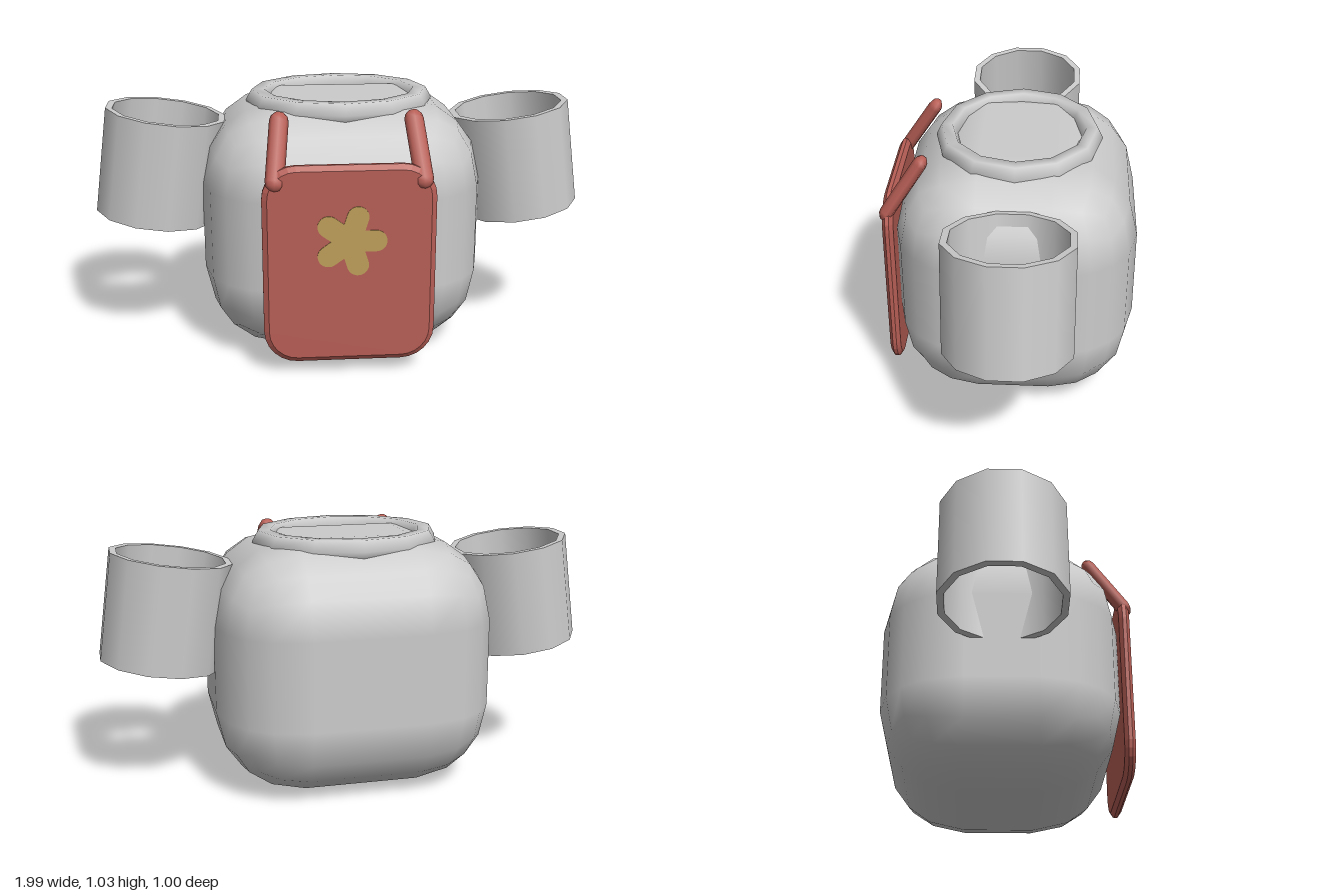
import * as THREE from 'three';
import { RoundedBoxGeometry } from 'three/addons/geometries/RoundedBoxGeometry.js';

const mat = (color, side = THREE.FrontSide) => new THREE.MeshStandardMaterial({ color, side });
const grey = mat(0xcccccc);
const greyOpen = mat(0xcccccc, THREE.DoubleSide);
const red = mat(0xb85f56);
const yellow = mat(0xbfa05a);
const BODY_Z = -0.03;

function add(parent, name, geometry, material, x = 0, y = 0, z = 0) {
  const mesh = new THREE.Mesh(geometry, material);
  mesh.name = name;
  mesh.position.set(x, y, z);
  parent.add(mesh);
  return mesh;
}

// Rectangle with round corners, centred on the origin
function roundedRect(w, h, r) {
  const s = new THREE.Shape();
  const x = w / 2, y = h / 2;
  s.absarc(x - r, y - r, r, 0, Math.PI / 2);
  s.absarc(-x + r, y - r, r, Math.PI / 2, Math.PI);
  s.absarc(-x + r, -y + r, r, Math.PI, Math.PI * 1.5);
  s.absarc(x - r, -y + r, r, Math.PI * 1.5, Math.PI * 2);
  s.closePath();
  return s;
}

// Five round petals joined at the middle
function flowerShape(reach, r) {
  const s = new THREE.Shape();
  const valley = r / Math.sin(Math.PI / 5);
  for (let i = 0; i < 5; i++) {
    const a = (i * Math.PI * 2) / 5;
    s.absarc(reach * Math.cos(a), reach * Math.sin(a), r, a - Math.PI / 2, a + Math.PI / 2);
    s.lineTo(valley * Math.cos(a + Math.PI / 5), valley * Math.sin(a + Math.PI / 5));
  }
  s.closePath();
  return s;
}

// Hollow tube with thick rims; every wall has its own smooth normals
function sleeve(name, side) {
  const group = new THREE.Group();
  group.name = name;
  const R = 0.245, r = 0.218, h = 0.43, start = Math.PI / 12;
  add(group, 'sleeveOuter', new THREE.CylinderGeometry(R, R, h, 12, 1, true, start), greyOpen);
  add(group, 'sleeveInner', new THREE.CylinderGeometry(r, r, h, 12, 1, true, start), greyOpen);
  for (const end of [-1, 1]) {
    const rim = add(group, 'sleeveRim', new THREE.RingGeometry(r, R, 12, 1, start), greyOpen, 0, end * h / 2, 0);
    rim.rotation.x = -end * Math.PI / 2;
  }
  group.position.set(side * 0.732, 0.732, BODY_Z);
  group.rotation.z = side * 0.14;
  return group;
}

// Flattened round strap from the bib corner up to the shoulder
function strap(parent, name, side) {
  const a = new THREE.Vector3(side * 0.28, 0.775, 0.475);
  const b = new THREE.Vector3(side * 0.255, 0.992, 0.332);
  const dir = b.clone().sub(a);
  const mid = a.clone().add(b).multiplyScalar(0.5);
  const geo = new THREE.CapsuleGeometry(0.037, dir.length() - 0.02, 3, 8);
  geo.scale(1, 1, 0.76);
  const mesh = add(parent, name, geo, red, mid.x, mid.y, mid.z);
  mesh.quaternion.setFromUnitVectors(new THREE.Vector3(0, 1, 0), dir.normalize());
}

export function createModel() {
  const model = new THREE.Group();
  model.name = 'bodyWithBib';

  // Rounded body
  add(model, 'body', new RoundedBoxGeometry(1.12, 1.015, 0.945, 2, 0.33), grey, 0, 0.5075, BODY_Z);

  // Oval neck ring
  const collar = new THREE.TorusGeometry(0.33, 0.05, 6, 12);
  collar.rotateX(-Math.PI / 2);
  collar.scale(1, 1, 0.87);
  add(model, 'collar', collar, grey, 0, 0.987, BODY_Z);

  // Open sleeves
  model.add(sleeve('leftSleeve', 1), sleeve('rightSleeve', -1));

  // Bib panel with bevelled edge
  const bib = new THREE.ExtrudeGeometry(roundedRect(0.62, 0.75, 0.11), {
    depth: 0.015, bevelThickness: 0.014, bevelSize: 0.02, bevelSegments: 1, curveSegments: 3,
  });
  add(model, 'bib', bib, red, 0, 0.45, 0.458);

  // Flower patch
  const flower = new THREE.ExtrudeGeometry(flowerShape(0.1, 0.042), {
    depth: 0.006, bevelEnabled: false, curveSegments: 8,
  });
  add(model, 'flower', flower, yellow, 0, 0.55, 0.484);

  // Shoulder straps
  strap(model, 'leftStrap', 1);
  strap(model, 'rightStrap', -1);

  return model;
}
